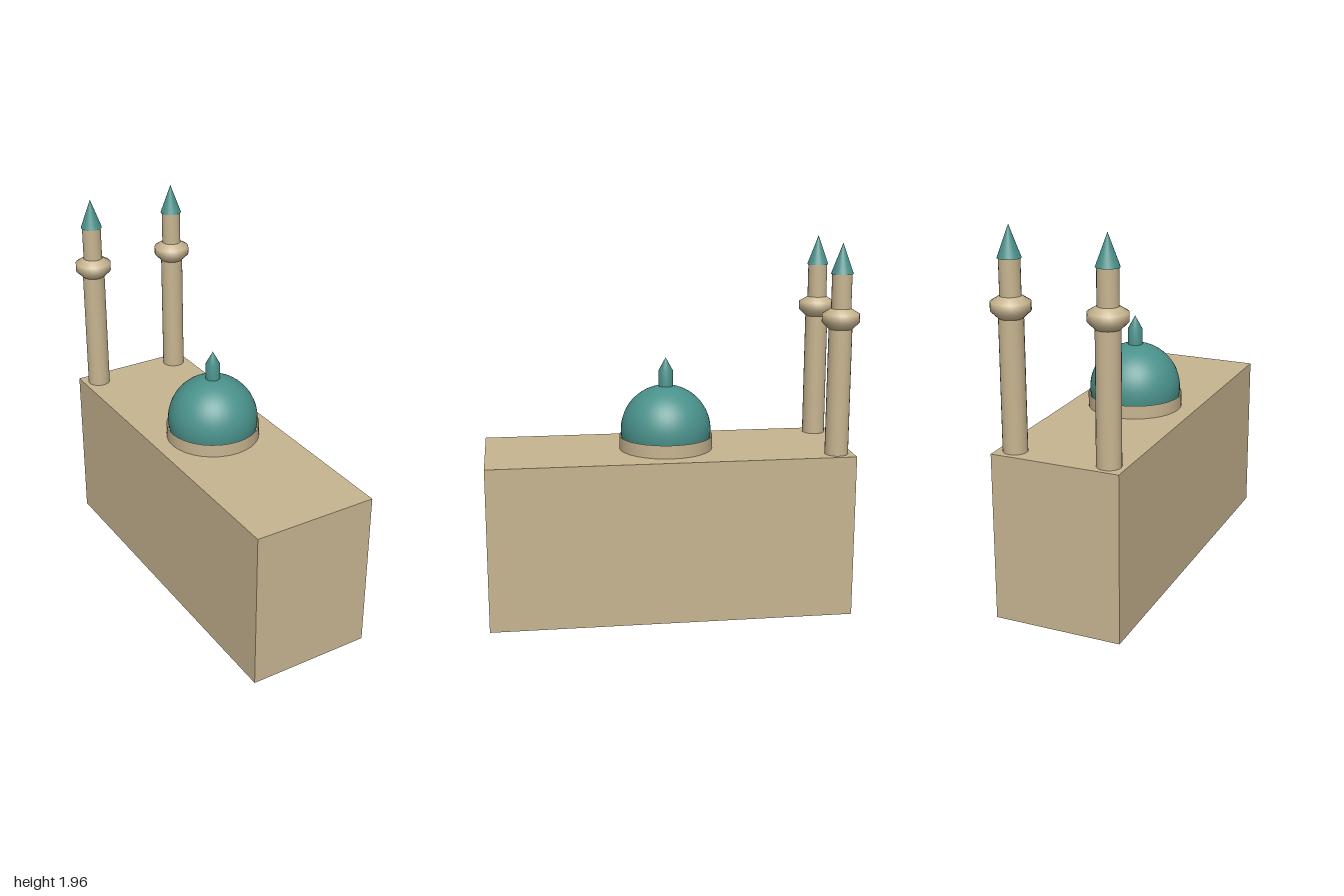
import * as THREE from 'three';
import { toCreasedNormals } from 'three/addons/utils/BufferGeometryUtils.js';

export function createModel() {
  const stone = new THREE.MeshStandardMaterial({ color: 0xc8b591, side: THREE.DoubleSide });
  stone.name = 'sandstone';
  const teal = new THREE.MeshStandardMaterial({ color: 0x4a918b, side: THREE.DoubleSide });
  teal.name = 'teal roof';

  const model = new THREE.Group();
  model.name = 'mosque';

  function add(parent, name, geometry, material, y = 0) {
    const mesh = new THREE.Mesh(geometry, material);
    mesh.name = name;
    mesh.position.y = y;
    parent.add(mesh);
    return mesh;
  }

  // Turned shape with crisp edges where the profile bends sharply
  function turned(profile, sides) {
    const points = profile.map(([r, y]) => new THREE.Vector2(r, y));
    return toCreasedNormals(new THREE.LatheGeometry(points, sides), 0.6);
  }

  // Hall: a hollow box, open underneath and turned about the vertical
  const hallHeight = 0.865;
  const box = new THREE.BoxGeometry(0.665, hallHeight, 1.905);
  const faces = Array.from(box.index.array);
  faces.splice(18, 6);
  box.setIndex(faces);
  box.clearGroups();
  add(model, 'hall', box, stone, hallHeight / 2).rotation.y = -0.215;

  // Drum: an open ring around the foot of the dome
  add(model, 'drum', new THREE.CylinderGeometry(0.247, 0.247, 0.07, 32, 1, true), stone, 0.9);

  // Dome, reaching down inside the drum
  add(model, 'dome', new THREE.SphereGeometry(0.238, 40, 24, 0, Math.PI * 2, 0, Math.PI * 0.6), teal, 0.963);

  // Finial on the dome
  add(model, 'finial', turned([[0.038, 1.18], [0.038, 1.28], [0, 1.35]], 20), teal);

  // Two minarets on the back corners, hollow and standing on the ground
  const shaftProfile = [[0.062, 0], [0.06, 1.52]];
  const balconyProfile = [[0.06, 1.52], [0.096, 1.555], [0.096, 1.598], [0.052, 1.625]];
  for (const [name, x, z] of [['rightMinaret', -0.055, -0.9], ['leftMinaret', 0.426, -0.792]]) {
    const minaret = new THREE.Group();
    minaret.name = name;
    minaret.position.set(x, 0, z);
    add(minaret, 'shaft', turned(shaftProfile, 24), stone);
    // Balcony keeps soft normals around its bulge
    add(minaret, 'balcony', new THREE.LatheGeometry(balconyProfile.map(([r, y]) => new THREE.Vector2(r, y)), 24), stone);
    add(minaret, 'upperShaft', turned([[0.051, 1.62], [0.051, 1.8]], 24), stone);
    add(minaret, 'spire', new THREE.ConeGeometry(0.057, 0.155, 24), teal, 1.8775);
    model.add(minaret);
  }

  return model;
}
